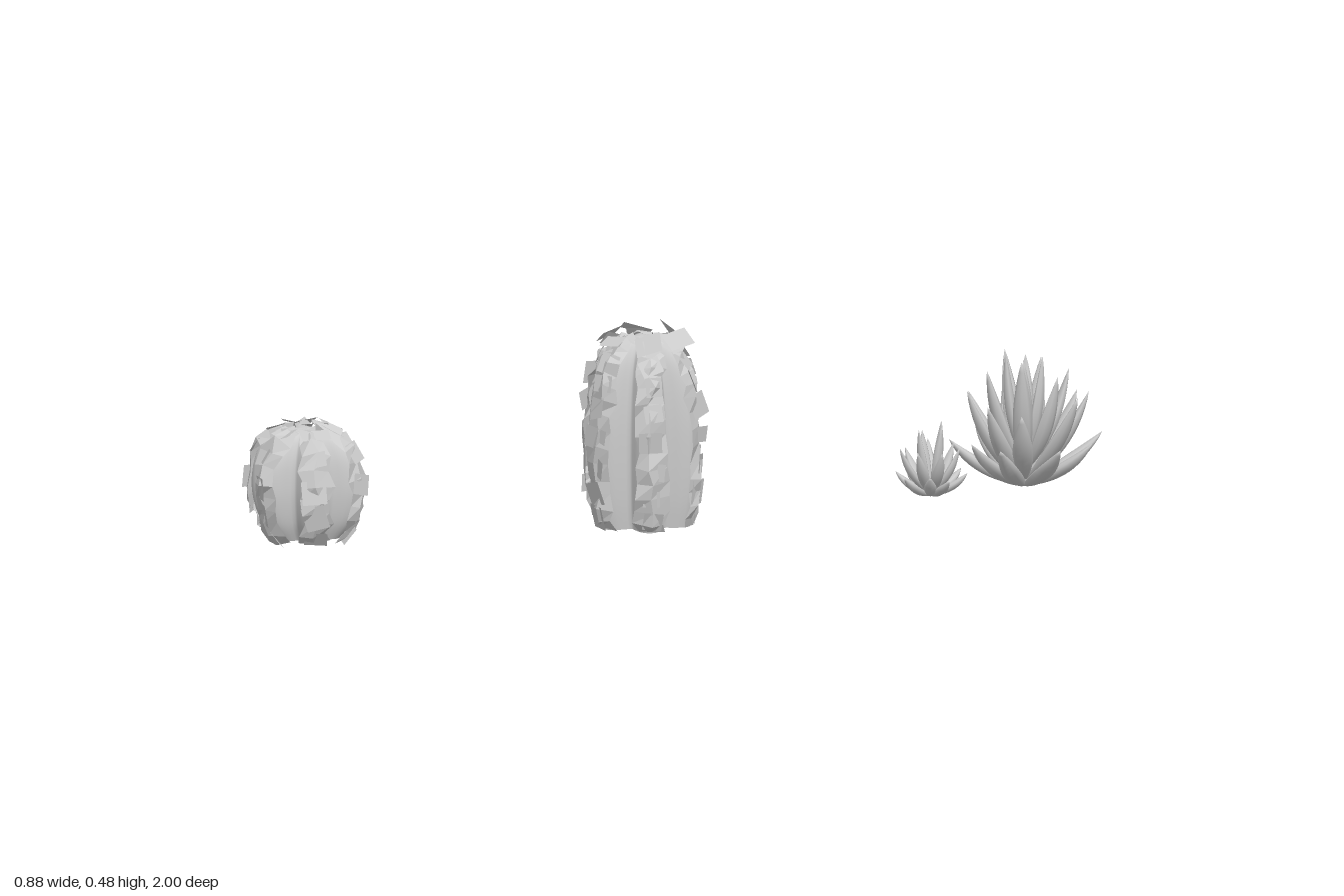
import * as THREE from 'three';
import { mergeGeometries, mergeVertices } from 'three/addons/utils/BufferGeometryUtils.js';

const RIBS = 6;
const smooth = new THREE.MeshStandardMaterial({ color: 0xcccccc, side: THREE.DoubleSide });
const faceted = new THREE.MeshStandardMaterial({ color: 0xcccccc, side: THREE.DoubleSide, flatShading: true });

// Seeded jitter in -a..a
function makeJitter(seed) {
  let s = seed;
  return (a = 1) => {
    s = (s * 16807) % 2147483647;
    return a * (2 * s / 2147483647 - 1);
  };
}

function weld(g) {
  g.deleteAttribute('uv');
  g.deleteAttribute('normal');
  const m = mergeVertices(g, 1e-5);
  m.computeVertexNormals();
  return m;
}

// Ribbed body, open below: a lathe whose radius swells at each rib
function ribbedBody(curve) {
  const g = new THREE.LatheGeometry(curve.getPoints(28).map(p => p.setX(Math.max(p.x, 0))), 72);
  const p = g.attributes.position;
  for (let i = 0; i < p.count; i++) {
    const x = p.getX(i), z = p.getZ(i);
    const k = 0.64 + 0.36 * Math.pow(0.5 + 0.5 * Math.cos(RIBS * Math.atan2(x, z)), 0.8);
    p.setXYZ(i, x * k, p.getY(i), z * k);
  }
  return weld(g);
}

// Crumpled strip draped over one rib
function spineStrip(curve, rows, jit) {
  const g = new THREE.PlaneGeometry(1, 1, 2, rows);
  const p = g.attributes.position;
  for (let i = 0; i < p.count; i++) {
    const t = 0.01 + 0.9 * (p.getY(i) + 0.5);
    const c = curve.getPoint(t), tan = curve.getTangent(t);
    const side = Math.sign(Math.round(p.getX(i) * 2));
    const lift = (side ? -0.004 : 0.01) + jit(0.009);
    const half = Math.min(0.035, 0.008 + c.x * 0.3);
    p.setXYZ(i, side * half + jit(0.011), c.y - tan.x * lift + jit(0.005), c.x + tan.y * lift);
  }
  return g;
}

// Card lying over the rib at a slight random tilt
function spineCard(curve, t, width, height, lift, jit) {
  const c = curve.getPoint(t), tan = curve.getTangent(t);
  const g = new THREE.PlaneGeometry(width * (1 + jit(0.2)), height * (1 + jit(0.25)));
  g.rotateZ(jit(0.35));
  g.rotateY(jit(0.6));
  g.rotateX(jit(0.2) - Math.atan2(-tan.x, tan.y));
  g.translate(jit(0.01), c.y - tan.x * lift, c.x + tan.y * lift);
  return g;
}

function cactus(name, profile, rows, crownLift, turn, seed) {
  const jit = makeJitter(seed);
  const curve = new THREE.SplineCurve(profile.map(([r, y]) => new THREE.Vector2(r, y)));
  const cards = [];
  for (let k = 0; k < RIBS; k++) {
    const rib = [spineStrip(curve, rows * 2, jit)];
    for (let i = 0; i < rows; i++) {
      rib.push(spineCard(curve, 0.08 + 0.7 * i / (rows - 1), 0.05, 0.048, 0.007, jit));
    }
    rib.push(spineCard(curve, 0.79, 0.06, 0.045, crownLift, jit));
    for (const g of rib) cards.push(g.rotateY(k * Math.PI * 2 / RIBS));
  }
  const group = new THREE.Group();
  group.name = name;
  const body = new THREE.Mesh(ribbedBody(curve), smooth);
  body.name = 'ribbedBody';
  const spines = new THREE.Mesh(mergeGeometries(cards), faceted);
  spines.name = 'ribSpines';
  group.add(body, spines);
  group.rotation.y = turn;
  return group;
}

// Fleshy pointed leaf: a tube swept along a curve, flatter on its upper side
function leafGeometry(baseR, baseY, tipR, tipY, width) {
  const path = new THREE.QuadraticBezierCurve(
    new THREE.Vector2(baseR, baseY),
    new THREE.Vector2(baseR + (tipR - baseR) * 0.62, baseY + (tipY - baseY) * 0.42),
    new THREE.Vector2(tipR, tipY));
  const g = new THREE.CylinderGeometry(1, 1, 1, 8, 12, true);
  const p = g.attributes.position;
  for (let i = 0; i < p.count; i++) {
    const t = p.getY(i) + 0.5;
    const c = path.getPoint(t), tan = path.getTangent(t);
    const w = width * Math.pow(Math.max(0, Math.sin(Math.PI * (0.1 + 0.9 * t))), 0.85);
    const n = p.getZ(i) * w * (p.getZ(i) > 0 ? 0.8 : 0.4);
    p.setXYZ(i, p.getX(i) * w, c.y - tan.x * n, c.x + tan.y * n);
  }
  return weld(g);
}

// Rings of leaves: [count, base radius, base height, tip radius, tip height, half width]
function rosette(name, rings, seed) {
  const jit = makeJitter(seed);
  const group = new THREE.Group();
  group.name = name;
  rings.forEach(([count, baseR, baseY, tipR, tipY, width], r) => {
    for (let i = 0; i < count; i++) {
      const reach = tipR * (1 + jit(0.08));
      const height = tipY * (1 + jit(0.08));
      const leaf = new THREE.Mesh(leafGeometry(baseR, baseY, reach, height, width), smooth);
      leaf.name = 'leaf';
      leaf.rotation.y = (i + 0.5 * r) * Math.PI * 2 / count + jit(0.15);
      group.add(leaf);
    }
  });
  return group;
}

export function createModel() {
  const model = new THREE.Group();
  model.name = 'desertPlants';

  const ball = cactus('ballCactus', [
    [0.082, 0.042], [0.112, 0.08], [0.128, 0.125], [0.132, 0.175],
    [0.12, 0.235], [0.088, 0.278], [0.045, 0.297], [0, 0.295],
  ], 5, 0.007, 0.1, 77);
  ball.position.set(-0.295, 0, 0.85);

  const column = cactus('columnCactus', [
    [0.116, 0.015], [0.128, 0.08], [0.134, 0.17], [0.132, 0.27],
    [0.118, 0.36], [0.094, 0.42], [0.05, 0.457], [0, 0.457],
  ], 8, 0.022, 0.05, 1234);
  column.position.set(-0.033, 0, 0.065);

  const large = rosette('largeSucculent', [
    [9, 0.012, 0.04, 0.175, 0.155, 0.024],
    [9, 0.014, 0.055, 0.15, 0.25, 0.024],
    [7, 0.014, 0.085, 0.1, 0.325, 0.023],
    [4, 0.01, 0.12, 0.045, 0.345, 0.021],
  ], 42);
  large.position.set(0.25, 0, -0.83);

  const small = rosette('smallSucculent', [
    [8, 0.008, 0.032, 0.088, 0.085, 0.015],
    [7, 0.008, 0.04, 0.075, 0.14, 0.015],
    [4, 0.006, 0.05, 0.035, 0.19, 0.014],
  ], 9);
  small.position.set(0.188, 0, -0.605);

  model.add(ball, column, large, small);
  return model;
}
